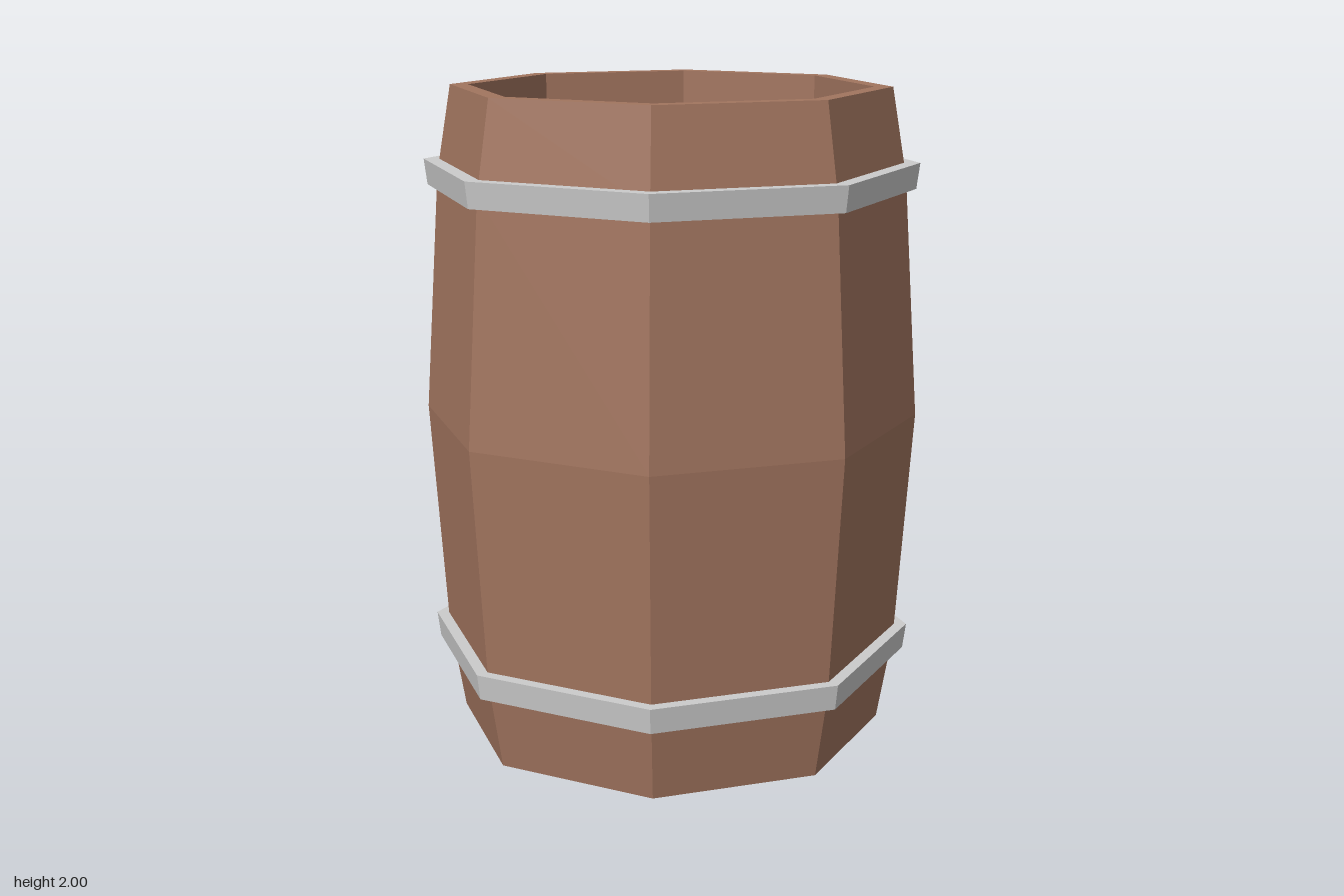
import * as THREE from 'three';

const SIDES = 8;

// Eight-sided turned part; profile is [radius, height] pairs, running upwards on the outside
function turned(name, profile, color) {
  const points = profile.map(([r, y]) => new THREE.Vector2(r, y));
  const material = new THREE.MeshStandardMaterial({ color, flatShading: true });
  const mesh = new THREE.Mesh(new THREE.LatheGeometry(points, SIDES), material);
  mesh.name = name;
  return mesh;
}

export function createModel() {
  const group = new THREE.Group();
  group.name = 'barrel';

  // Wooden body with bulging staves and a recessed lid at each end
  group.add(turned('barrelBody', [
    [0, 0.14], [0.61, 0.14], [0.61, 0], [0.665, 0],
    [0.711, 0.27], [0.76, 1], [0.711, 1.73],
    [0.665, 2], [0.61, 2], [0.61, 1.86], [0, 1.86],
  ], 0xa2755f));

  // Metal hoops, slightly wider at their upper edge
  for (const [name, y] of [['lowerHoop', 0.235], ['upperHoop', 1.697]]) {
    const hoop = turned(name, [
      [0.69, 0], [0.742, 0], [0.752, 0.078], [0.69, 0.078], [0.69, 0],
    ], 0xcccccc);
    hoop.position.y = y;
    group.add(hoop);
  }
  return group;
}
